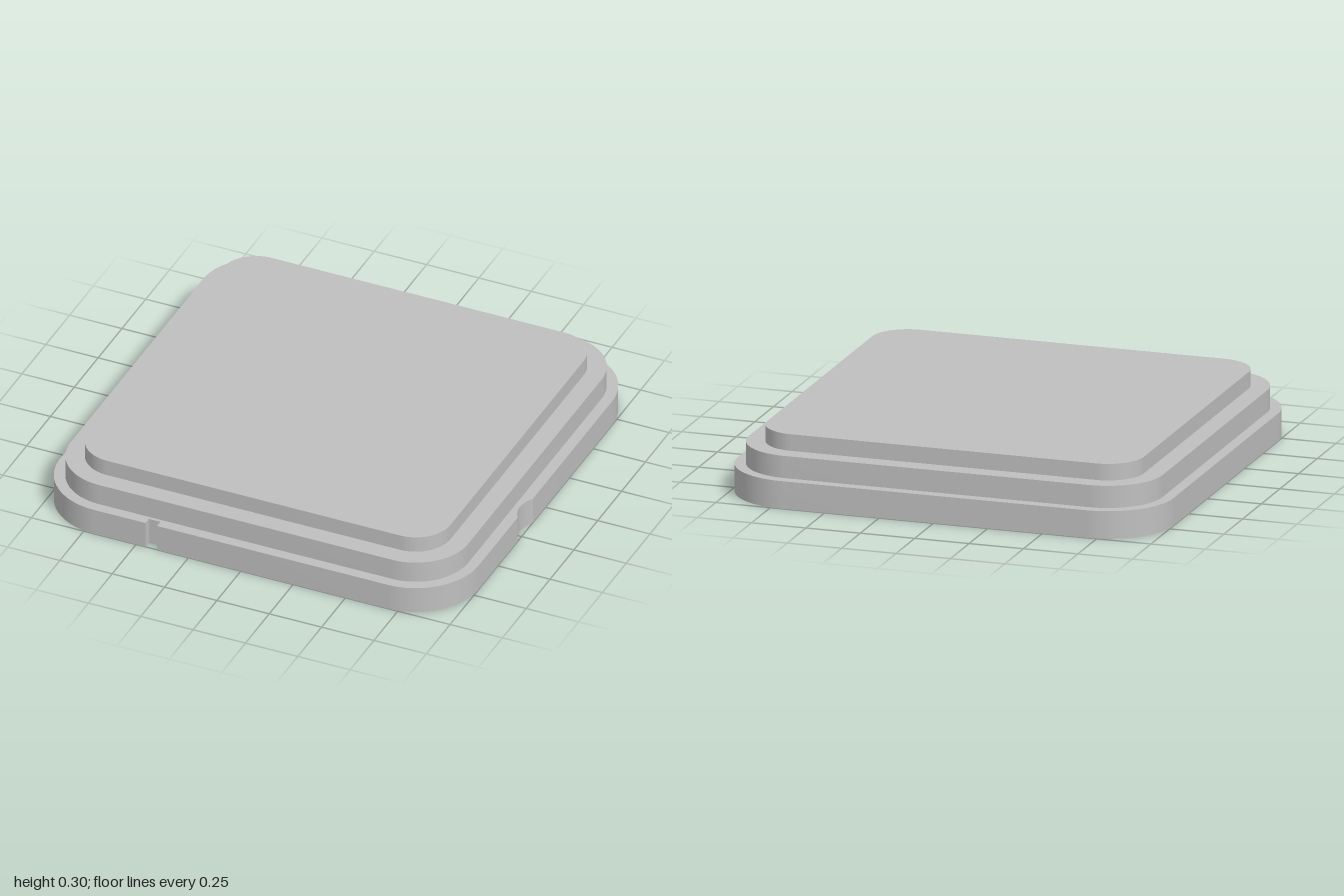
import * as THREE from 'three';
import { toCreasedNormals } from 'three/addons/utils/BufferGeometryUtils.js';

const CORNER = 0.7; // all corner arcs share the centres (+-0.7, +-0.7)

// Counter-clockwise rounded square of half-width h; shape y is -z of the model
function trace(path, h, notched = false) {
  const c = CORNER, r = h - c;
  path.moveTo(-c, -h);
  if (notched) {
    // square slot in the front edge
    path.lineTo(-0.455, -h);
    path.lineTo(-0.455, -0.965);
    path.lineTo(-0.4, -0.965);
    path.lineTo(-0.4, -h);
  }
  path.lineTo(c, -h);
  path.absarc(c, -c, r, -Math.PI / 2, 0, false);
  if (notched) {
    // shallow round scoop in the +x edge
    const a = Math.atan2(0.08, -0.115);
    path.lineTo(h, -0.29);
    path.absarc(h + 0.115, -0.21, 0.14, -a, a, true);
  }
  path.lineTo(h, c);
  path.absarc(c, c, r, 0, Math.PI / 2, false);
  path.lineTo(-c, h);
  path.absarc(-c, c, r, Math.PI / 2, Math.PI, false);
  path.lineTo(-h, -c);
  path.absarc(-c, -c, r, Math.PI, Math.PI * 1.5, false);
  return path;
}

export function createModel() {
  const grey = new THREE.MeshStandardMaterial({ color: 0xbfbfbf });
  grey.name = 'plain grey';
  const group = new THREE.Group();
  group.name = 'steppedLid';

  // Upright slab from y0 to y1, optionally hollow
  function slab(name, half, y0, y1, hole = 0, notched = false) {
    const shape = trace(new THREE.Shape(), half, notched);
    if (hole) shape.holes.push(trace(new THREE.Path(), hole));
    const geo = new THREE.ExtrudeGeometry(shape, { depth: y1 - y0, bevelEnabled: false, curveSegments: 20 });
    geo.rotateX(-Math.PI / 2);
    geo.translate(0, y0, 0);
    const mesh = new THREE.Mesh(toCreasedNormals(geo, 0.5), grey);
    mesh.name = name;
    group.add(mesh);
  }

  // Outer rim, separated from the core by a groove on the underside
  slab('baseRim', 1, 0, 0.125, 0.93, true);
  // Middle step, which also closes the groove
  slab('middleStep', 0.95, 0.125, 0.225, 0.865);
  // Solid core from the underside to the top face
  slab('core', 0.865, 0, 0.3);

  return group;
}
